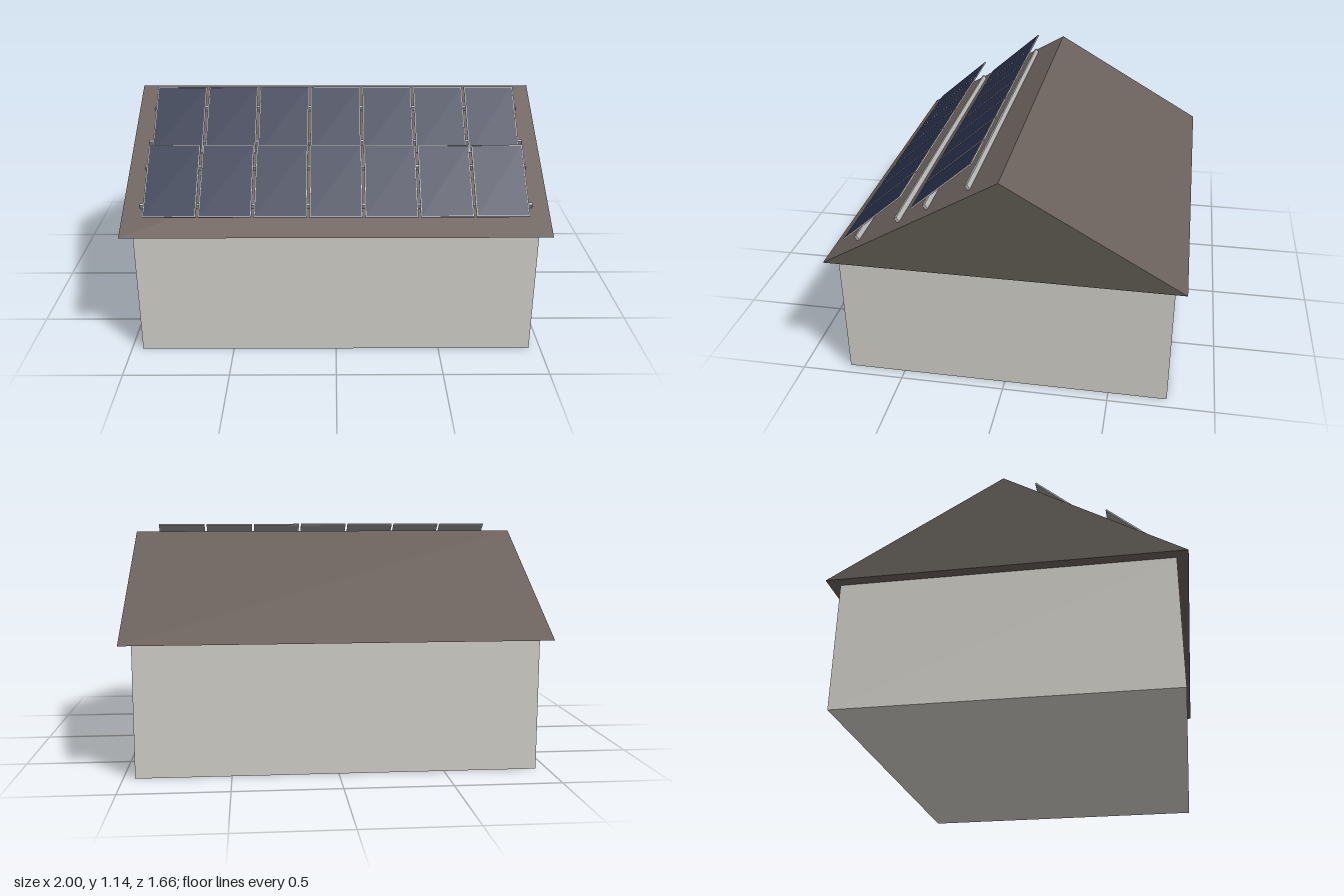
import * as THREE from 'three';

const mat = (color) => new THREE.MeshStandardMaterial({ color });

function box(name, size, material, x = 0, y = 0, z = 0) {
  const mesh = new THREE.Mesh(new THREE.BoxGeometry(...size), material);
  mesh.name = name;
  mesh.position.set(x, y, z);
  return mesh;
}

export function createModel() {
  const house = new THREE.Group();
  house.name = 'house';
  const wallMat = mat(0xd2d0c9), roofMat = mat(0x6a605b), gableMat = mat(0x5e5851);
  const cellMat = mat(0x28304a), metalMat = mat(0xb8b8b8), backMat = mat(0x909090);

  const eaveY = 0.628, ridgeY = 1.108, eaveZ = 0.83;

  // Walls
  house.add(box('walls', [1.89, eaveY, 1.555], wallMat, 0, eaveY / 2, 0));

  // Gable roof: triangular section extruded along x
  const section = new THREE.Shape([
    new THREE.Vector2(-eaveZ, eaveY),
    new THREE.Vector2(eaveZ, eaveY),
    new THREE.Vector2(0, ridgeY),
  ]);
  const roofGeo = new THREE.ExtrudeGeometry(section, { depth: 2, bevelEnabled: false });
  roofGeo.translate(0, 0, -1).rotateY(Math.PI / 2);
  const roof = new THREE.Mesh(roofGeo, [gableMat, roofMat]);
  roof.name = 'roof';
  house.add(roof);

  // Mounting rails lying on the front slope
  const pitch = Math.atan2(ridgeY - eaveY, eaveZ);
  const railH = 0.028;
  for (const z of [0.148, 0.345, 0.482, 0.68]) {
    const y = ridgeY - z * Math.tan(pitch);
    const rail = box('rail', [1.84, railH, 0.013], metalMat,
      0, y + Math.cos(pitch) * railH * 0.4, z + Math.sin(pitch) * railH * 0.4);
    rail.rotation.x = pitch;
    house.add(rail);
  }

  // Panel frame with an open middle
  const w = 0.247, h = 0.38, t = 0.007, rim = 0.005;
  const rect = (S, a, b) => new S([[-a, -b], [a, -b], [a, b], [-a, b]].map((p) => new THREE.Vector2(...p)));
  const frameShape = rect(THREE.Shape, w / 2, h / 2);
  frameShape.holes.push(rect(THREE.Path, w / 2 - rim, h / 2 - rim));
  const frameGeo = new THREE.ExtrudeGeometry(frameShape, { depth: t, bevelEnabled: false });
  frameGeo.translate(0, 0, -t / 2);

  // Two rows of seven panels, tilted more steeply than the roof
  const tilt = Math.atan2(0.248, 0.288);
  for (const [y, z] of [[0.824, 0.615], [1.016, 0.281]]) {
    const row = new THREE.Group();
    row.name = 'panelRow';
    row.position.set(0, y, z);
    row.rotation.x = tilt - Math.PI / 2;
    for (let i = -3; i <= 3; i++) {
      const panel = new THREE.Group();
      panel.name = 'solarPanel';
      panel.position.x = i * 0.2583;
      const frame = new THREE.Mesh(frameGeo, metalMat);
      frame.name = 'panelFrame';
      panel.add(
        frame,
        box('panelCells', [w - 2 * rim, h - 2 * rim, 0.003], cellMat, 0, 0, 0.0015),
        box('panelBacking', [w - 2 * rim, h - 2 * rim, 0.003], backMat, 0, 0, -0.0015),
      );
      row.add(panel);
    }
    house.add(row);
  }
  return house;
}
